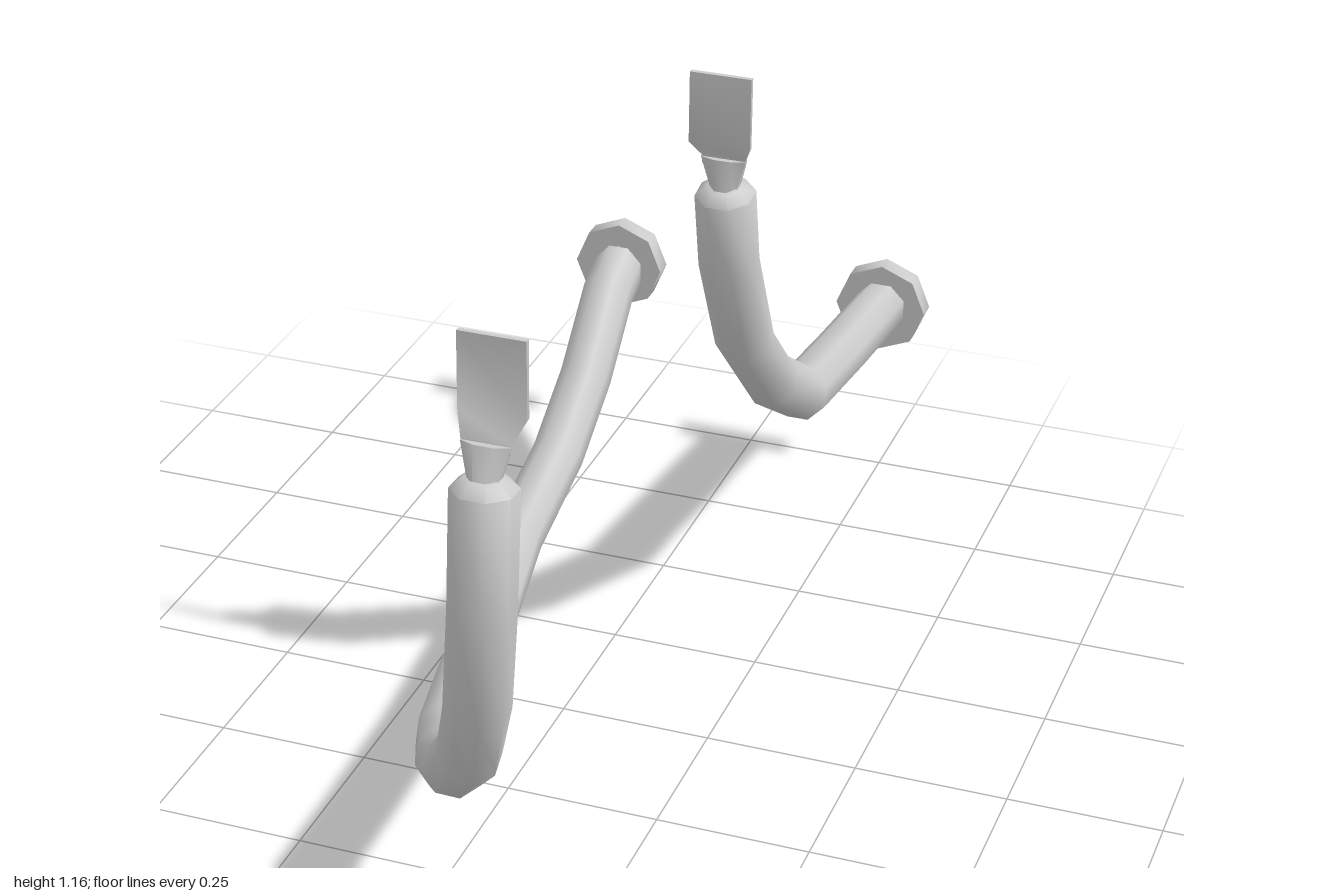
import * as THREE from 'three';
import { toCreasedNormals } from 'three/addons/utils/BufferGeometryUtils.js';

const material = new THREE.MeshStandardMaterial({ color: 0xcccccc });
const V = (x, y, z) => new THREE.Vector3(x, y, z);

function part(name, geometry) {
  const mesh = new THREE.Mesh(toCreasedNormals(geometry, 0.9), material);
  mesh.name = name;
  return mesh;
}

// Closed skin over a list of rings with equal point counts
function loft(rings) {
  const n = rings[0].length, last = (rings.length - 1) * n, index = [];
  for (let i = 0; i < rings.length - 1; i++) {
    for (let j = 0; j < n; j++) {
      const k = (j + 1) % n, a = i * n + j, b = i * n + k;
      index.push(a, b, a + n, b, b + n, a + n);
    }
  }
  for (let j = 1; j < n - 1; j++) {
    index.push(0, j + 1, j, last, last + j, last + j + 1);
  }
  const geometry = new THREE.BufferGeometry().setFromPoints(rings.flat());
  geometry.setIndex(index);
  return geometry;
}

// Eight-sided ring around a point, facing along a tangent
function tubeRing(center, tangent, radius) {
  const v = tangent.clone().cross(V(1, 0, 0)).normalize();
  const u = v.clone().cross(tangent).normalize();
  return Array.from({ length: 8 }, (_, j) => {
    const a = (j + 0.5) * Math.PI / 4;
    return center.clone()
      .addScaledVector(u, radius * Math.cos(a))
      .addScaledVector(v, radius * Math.sin(a));
  });
}

// Hose swept along its points, with a bevelled upper end
function hose(points, radius) {
  const dir = (a, b) => b.clone().sub(a).normalize();
  const n = points.length;
  const rings = points.map((p, i) => {
    const before = dir(points[Math.max(i - 1, 0)], points[Math.max(i, 1)]);
    const after = dir(points[Math.min(i, n - 2)], points[Math.min(i + 1, n - 1)]);
    return tubeRing(p, before.add(after).normalize(), radius);
  });
  const t = dir(points[n - 2], points[n - 1]);
  rings.push(tubeRing(points[n - 1].clone().addScaledVector(t, 0.016), t, radius * 0.6));
  return loft(rings);
}

// Horizontal oval ring
const ovalRing = (x, y, z, w, d) => Array.from({ length: 8 }, (_, j) => {
  const a = (j + 0.5) * Math.PI / 4;
  return V(x + w * Math.sin(a), y, z + d * Math.cos(a));
});

// Horizontal rectangle
const boxRing = (x, y, z, w, d) =>
  [V(x - w, y, z + d), V(x + w, y, z + d), V(x + w, y, z - d), V(x - w, y, z - d)];

function buildCable(name, points, bladeZ) {
  const group = new THREE.Group();
  group.name = name;
  const base = points[0], end = points[points.length - 1];
  group.add(part('hose', hose(points, 0.047)));

  // Hollow octagonal wall flange
  const profile = [[0.054, 0], [0.082, 0], [0.082, 0.036], [0.04, 0.036], [0.054, 0]];
  const flange = new THREE.LatheGeometry(profile.map(p => new THREE.Vector2(...p)), 8);
  flange.rotateX(Math.PI / 2).translate(base.x, base.y, -1);
  group.add(part('wallFlange', flange));

  // Crimp flattening from round to wide, then the stepped blade
  const x = 0.248, neckZ = THREE.MathUtils.lerp(end.z, bladeZ, 0.3);
  group.add(part('crimp', loft([
    ovalRing(x, 0.965, end.z, 0.021, 0.026),
    ovalRing(x, 1.022, neckZ, 0.038, 0.014),
  ])));
  group.add(part('blade', loft([
    boxRing(x, 1.01, neckZ, 0.033, 0.004),
    boxRing(x, 1.025, neckZ, 0.035, 0.004),
    boxRing(x, 1.052, bladeZ, 0.048, 0.004),
    boxRing(x, 1.165, bladeZ, 0.048, 0.004),
  ])));
  return group;
}

export function createModel() {
  const model = new THREE.Group();
  model.name = 'cablePair';

  const longPath = [
    V(-0.255, 0.34, -0.985), V(-0.255, 0.31, -0.91), V(-0.254, 0.195, -0.79),
    V(-0.252, 0.108, -0.64), V(-0.245, 0.057, -0.415), V(-0.2, 0.047, -0.18),
    V(-0.122, 0.11, 0.135), V(-0.037, 0.2, 0.415), V(0.05, 0.3, 0.62),
    V(0.13, 0.405, 0.78), V(0.187, 0.49, 0.865), V(0.228, 0.615, 0.932),
    V(0.247, 0.79, 0.957), V(0.248, 0.96, 0.947),
  ];
  const shortPath = [
    [0.34, -0.985], [0.371, -0.72], [0.405, -0.475], [0.515, -0.3],
    [0.66, -0.15], [0.835, -0.06], [0.96, -0.034],
  ].map(([y, z]) => V(0.248, y, z));

  model.add(buildCable('longCable', longPath, 0.915));
  model.add(buildCable('shortCable', shortPath, -0.002));
  return model;
}
